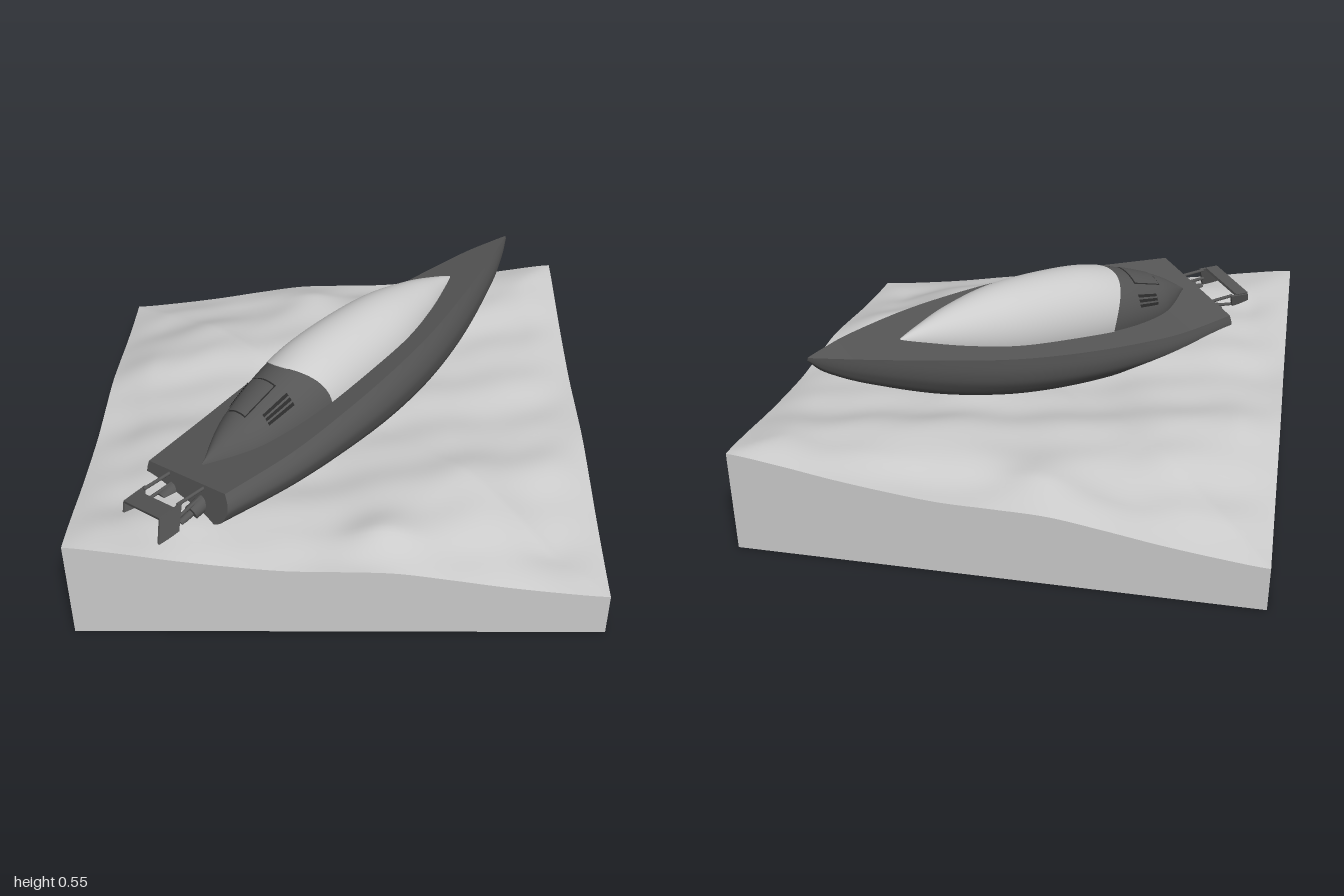
import * as THREE from 'three';

const waterMat = new THREE.MeshStandardMaterial({ color: 0xcccccc });
const canopyMat = new THREE.MeshStandardMaterial({ color: 0xdddddd, side: THREE.DoubleSide });
const boatMat = new THREE.MeshStandardMaterial({ color: 0x555555, side: THREE.DoubleSide });
const darkMat = new THREE.MeshStandardMaterial({ color: 0x2a2a2a, side: THREE.DoubleSide });

function addMesh(parent, name, geometry, material) {
  const mesh = new THREE.Mesh(geometry, material);
  mesh.name = name;
  parent.add(mesh);
  return mesh;
}

// Smooth surface from a rule (u, v) -> [x, y, z]
function loft(rule, nu, nv, flip = false) {
  const pos = [], idx = [];
  for (let i = 0; i <= nu; i++)
    for (let j = 0; j <= nv; j++) pos.push(...rule(i / nu, j / nv));
  for (let i = 0; i < nu; i++)
    for (let j = 0; j < nv; j++) {
      const a = i * (nv + 1) + j, b = a + nv + 1;
      if (flip) idx.push(a, a + 1, b, b, a + 1, b + 1);
      else idx.push(a, b, a + 1, b, b + 1, a + 1);
    }
  const g = new THREE.BufferGeometry();
  g.setAttribute('position', new THREE.Float32BufferAttribute(pos, 3));
  g.setIndex(idx);
  g.computeVertexNormals();
  return g;
}

// Stations [x, halfWidth, top, bottom] joined by smooth curves
function stations(list) {
  const upper = new THREE.CatmullRomCurve3(list.map(([x, w, a]) => new THREE.Vector3(x, a, w)), false, 'catmullrom');
  const lower = new THREE.CatmullRomCurve3(list.map(([x, , , b]) => new THREE.Vector3(x, b, 0)), false, 'catmullrom');
  return (t) => {
    const p = upper.getPoint(t);
    return { x: p.x, w: Math.max(p.z, 0), top: p.y, bottom: lower.getPoint(t).y };
  };
}

// Height of the sea
const edgeHeights = [0.3, 0.28, 0.255, 0.235, 0.22, 0.217, 0.212, 0.19, 0.165, 0.145, 0.13];
const edgeCurve = new THREE.SplineCurve(edgeHeights.map((h, i) => new THREE.Vector2(i / 10, h)));
const bump = (x, z, cx, cz, r) => Math.exp(-((x - cx) ** 2 + (z - cz) ** 2) / (r * r));
function seaHeight(x, z) {
  const s = Math.min(1, Math.abs(z));
  const inside = Math.max(0, 1 - Math.abs(x) - s);
  const fade = Math.min(1, inside * 6);
  const swell = inside * (-0.08 + 0.14 * THREE.MathUtils.smoothstep(s, 0, 0.5));
  const ripples = 0.007 * Math.sin(9 * x + 5 * z) + 0.006 * Math.sin(13 * z - 6 * x + 1)
    + 0.004 * Math.sin(21 * x + 11 * z + 2) + 0.003 * Math.sin(29 * z - 17 * x);
  const crests = 0.035 * (bump(x, z, 0.36, -0.5, 0.1) + bump(x, z, -0.36, 0.5, 0.1))
    + 0.03 * bump(x, z, 0.5, -0.16, 0.14);
  return edgeCurve.getPoint(s).y + swell + fade * (ripples + crests);
}

function buildSea() {
  const side = Math.SQRT2;
  const g = new THREE.BoxGeometry(side, 1, side, 90, 1, 90).rotateY(Math.PI / 4);
  const p = g.attributes.position;
  for (let i = 0; i < p.count; i++)
    p.setY(i, p.getY(i) > 0 ? seaHeight(p.getX(i), p.getZ(i)) : 0);
  g.computeVertexNormals();
  return g;
}

function buildHull(boat) {
  const at = stations([
    [-0.62, 0.168, -0.07, -0.19], [-0.4, 0.193, -0.05, -0.2], [-0.2, 0.2, -0.02, -0.2],
    [0, 0.192, 0.01, -0.192], [0.2, 0.165, 0.038, -0.165], [0.4, 0.12, 0.07, -0.11],
    [0.6, 0.06, 0.098, -0.02], [0.7, 0.022, 0.108, 0.045], [0.75, 0.001, 0.112, 0.1],
  ]);
  const rib = new THREE.SplineCurve([[1, 0], [1.06, 0.25], [1.02, 0.5], [0.78, 0.78], [0, 1]]
    .map(([a, b]) => new THREE.Vector2(a, b)));
  const skin = (t, v, side) => {
    const s = at(t), r = rib.getPoint(v);
    const rake = 0.03 * r.y * (1 - t) ** 6;
    return [s.x - rake, s.top + (s.bottom - s.top) * r.y, side * s.w * r.x];
  };
  const across = (t, v, k) => {
    const p = skin(t, v, 1);
    return [p[0], p[1], p[2] * (1 - 2 * k)];
  };
  for (const side of [1, -1])
    addMesh(boat, side > 0 ? 'hullLeft' : 'hullRight', loft((u, v) => skin(u, v, side), 60, 20, side > 0), boatMat);
  addMesh(boat, 'deck', loft((u, v) => across(u, 0, v), 60, 4), boatMat);
  addMesh(boat, 'transom', loft((u, v) => across(0, v, u), 4, 20), boatMat);
}

function buildCabin(boat) {
  const at = stations([
    [-0.56, 0, -0.06, -0.075], [-0.48, 0.055, -0.005, -0.07], [-0.4, 0.092, 0.035, -0.06],
    [-0.25, 0.122, 0.095, -0.03], [-0.1, 0.128, 0.132, -0.01], [0.13, 0.115, 0.148, 0.02],
    [0.3, 0.075, 0.13, 0.045], [0.42, 0.03, 0.1, 0.06], [0.49, 0, 0.075, 0.07],
  ]);
  const shell = (t, angle, lift = 0) => {
    const s = at(t);
    return [s.x, s.bottom + (s.top - s.bottom + lift) * Math.sin(angle), (s.w + lift) * Math.cos(angle)];
  };
  const split = (angle) => 0.375 + 0.06 * Math.cos(angle) ** 2;
  addMesh(boat, 'cabinRear', loft((u, v) => shell(u * split(v * Math.PI), v * Math.PI), 24, 32), boatMat);
  addMesh(boat, 'canopy', loft((u, v) => {
    const a = v * Math.PI, k = split(a);
    return shell(k + (1 - k) * u, a, 0.002 * (1 - u));
  }, 48, 32), canopyMat);

  // Thin panels that follow the cabin shell
  const panel = (name, t0, t1, a0, a1, lift, mat) =>
    addMesh(boat, name, loft((u, v) => shell(t0 + (t1 - t0) * u, a0 + (a1 - a0) * v, lift), 8, 8), mat);
  const mid = Math.PI / 2;
  panel('hatchSeam', 0.23, 0.335, mid - 0.42, mid + 0.42, 0.0015, darkMat);
  panel('hatch', 0.234, 0.331, mid - 0.39, mid + 0.39, 0.003, boatMat);
  for (let i = 0; i < 3; i++) {
    const a = 0.5 + i * 0.13;
    panel('ventLeft', 0.27, 0.34, a, a + 0.08, 0.003, darkMat);
    panel('ventRight', 0.27, 0.34, Math.PI - a - 0.08, Math.PI - a, 0.003, darkMat);
  }
}

function rod(parent, name, from, to, radius, sides = 10) {
  const a = new THREE.Vector3(...from), b = new THREE.Vector3(...to);
  const mesh = addMesh(parent, name, new THREE.CylinderGeometry(radius, radius, a.distanceTo(b), sides), boatMat);
  mesh.position.copy(a).lerp(b, 0.5);
  mesh.quaternion.setFromUnitVectors(new THREE.Vector3(0, 1, 0), b.sub(a).normalize());
}

function buildSternGear(boat) {
  const gear = new THREE.Group();
  gear.name = 'sternGear';
  boat.add(gear);
  const wing = addMesh(gear, 'sternWing', new THREE.BoxGeometry(0.05, 0.008, 0.16), boatMat);
  wing.position.set(-0.75, -0.088, 0);
  wing.rotation.z = 0.12;
  const outline = new THREE.Shape([[-0.8, -0.165], [-0.73, -0.155], [-0.7, -0.08], [-0.775, -0.092]]
    .map(([x, y]) => new THREE.Vector2(x, y)));
  const plate = new THREE.ExtrudeGeometry(outline, { depth: 0.007, bevelEnabled: false });
  for (const side of [1, -1]) {
    addMesh(gear, 'wingEndPlate', plate, boatMat).position.z = side * 0.08 - 0.0035;
    rod(gear, 'upperStrut', [-0.71, -0.084, side * 0.075], [-0.61, -0.08, side * 0.075], 0.005);
    rod(gear, 'lowerStrut', [-0.72, -0.12, side * 0.075], [-0.62, -0.105, side * 0.065], 0.005);
    rod(gear, 'driveHousing', [-0.67, -0.135, side * 0.065], [-0.61, -0.12, side * 0.065], 0.022, 20);
    rod(gear, 'driveShaft', [-0.71, -0.145, side * 0.065], [-0.66, -0.132, side * 0.065], 0.01, 14);
  }
}

export function createModel() {
  const model = new THREE.Group();
  model.name = 'speedboatOnSea';
  addMesh(model, 'seaBlock', buildSea(), waterMat);

  // The boat heels over to its right-hand neighbour side, -z
  const boat = new THREE.Group();
  boat.name = 'boat';
  boat.position.set(0, 0.4, 0.02);
  boat.rotation.x = -0.23;
  buildHull(boat);
  buildCabin(boat);
  buildSternGear(boat);
  model.add(boat);
  return model;
}
